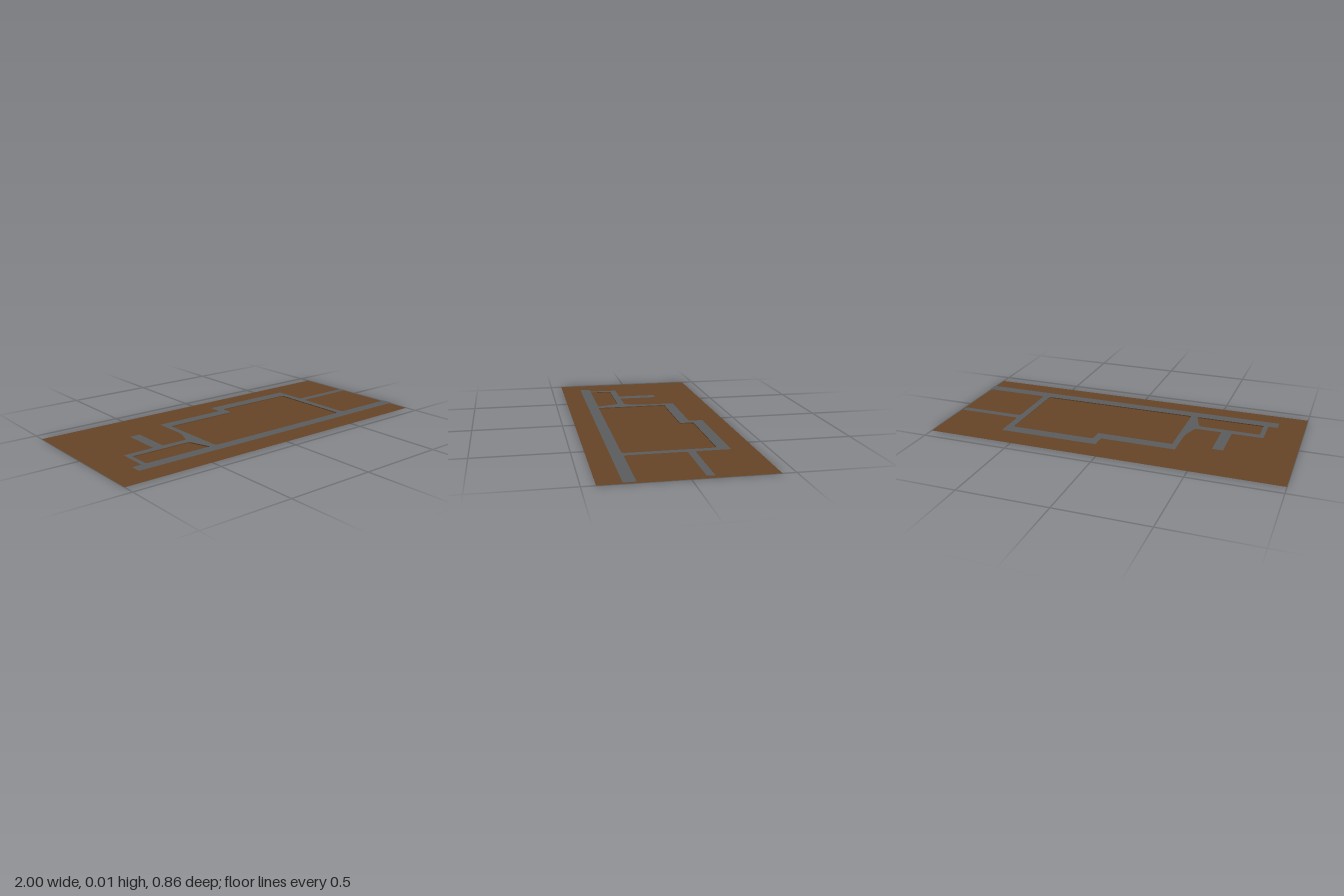
import * as THREE from 'three';

const ROAD_Y = 0.007;

// Closed outline from [x, z, cornerRadius] points; z is flipped so it can be laid flat
function outline(points, PathType) {
  const path = new PathType();
  const pts = points.map(([x, z]) => new THREE.Vector2(x, -z));
  const n = pts.length;
  pts.forEach((p, i) => {
    const r = points[i][2] || 0;
    const a = p.clone().add(pts[(i + n - 1) % n].clone().sub(p).setLength(r));
    const b = p.clone().add(pts[(i + 1) % n].clone().sub(p).setLength(r));
    if (i === 0) path.moveTo(a.x, a.y);
    else path.lineTo(a.x, a.y);
    if (r) path.quadraticCurveTo(p.x, p.y, b.x, b.y);
  });
  path.closePath();
  return path;
}

// Upright strip following a closed outline
function kerb(path, y0, y1) {
  const pts = path.getPoints(6);
  const pos = [], idx = [];
  pts.forEach((p, i) => {
    pos.push(p.x, y0, -p.y, p.x, y1, -p.y);
    if (i) idx.push(2 * i - 2, 2 * i, 2 * i - 1, 2 * i, 2 * i + 1, 2 * i - 1);
  });
  const g = new THREE.BufferGeometry();
  g.setAttribute('position', new THREE.Float32BufferAttribute(pos, 3));
  g.setIndex(idx);
  const flat = g.toNonIndexed();
  flat.computeVertexNormals();
  return flat;
}

export function createModel() {
  const group = new THREE.Group();
  const earth = new THREE.MeshStandardMaterial({ color: 0x654426, side: THREE.DoubleSide });
  const asphalt = new THREE.MeshStandardMaterial({ color: 0x5a5b5d, side: THREE.DoubleSide });
  const add = (name, geometry, material) => {
    const mesh = new THREE.Mesh(geometry, material);
    mesh.name = name;
    group.add(mesh);
  };

  // Flat ground sheet
  add('ground', new THREE.PlaneGeometry(2, 0.862).rotateX(-Math.PI / 2), earth);

  // Outer edge of the joined road network
  const r = 0.018;
  const road = outline([
    [-0.85, 0.313], [1, 0.313], [1, 0.25], [0.62, 0.25, r],
    [0.62, -0.075, r], [0.985, -0.075], [0.985, -0.115], [0.62, -0.115, r],
    [0.62, -0.303], [0.05, -0.303], [0.05, -0.222], [-0.375, -0.222],
    [-0.375, -0.02, 0.03], [-0.41, 0.082, r], [-0.56, 0.082], [-0.56, -0.147],
    [-0.62, -0.147], [-0.62, 0.082], [-0.797, 0.082], [-0.797, 0.25], [-0.85, 0.25],
  ], THREE.Shape);

  // Blocks of land enclosed by the roads
  const smallBlock = outline([
    [-0.77, 0.122, 0.01], [-0.422, 0.122, r], [-0.378, 0.25, 0.01], [-0.77, 0.25, 0.01],
  ], THREE.Path);
  const largeBlock = outline([
    [-0.342, -0.16], [0.09, -0.16], [0.09, -0.238, r], [0.58, -0.238, r],
    [0.58, 0.252, r], [-0.342, 0.252, r],
  ], THREE.Path);
  road.holes.push(smallBlock, largeBlock);

  add('roads', new THREE.ShapeGeometry(road, 6).rotateX(-Math.PI / 2).translate(0, ROAD_Y, 0), asphalt);

  // Low edges around the enclosed blocks
  add('smallBlockEdge', kerb(smallBlock, 0.002, ROAD_Y), earth);
  add('largeBlockEdge', kerb(largeBlock, 0.002, ROAD_Y), earth);
  return group;
}
